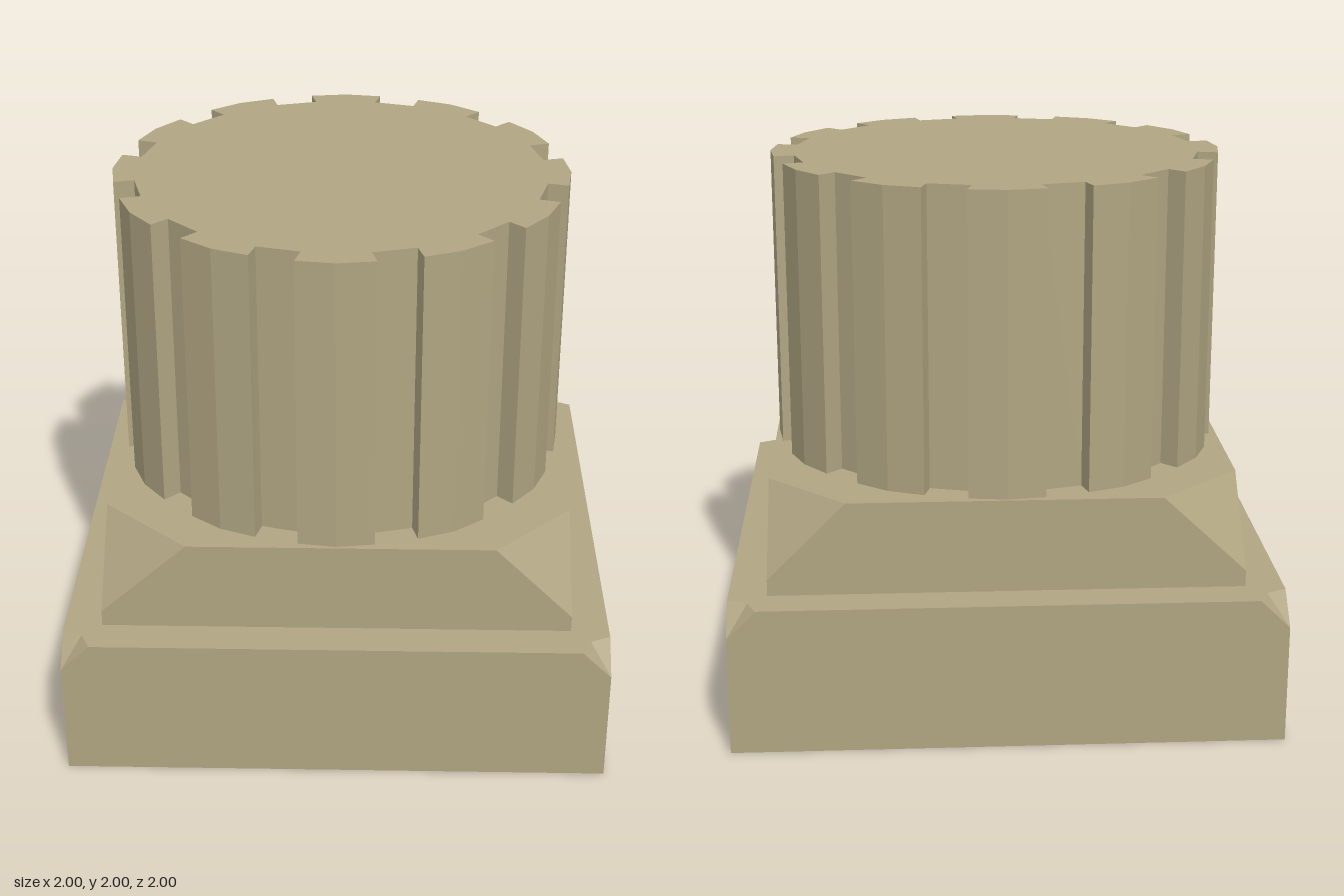
import * as THREE from 'three';

const stone = new THREE.MeshStandardMaterial({ color: 0xb0a582, flatShading: true });

// Square block with its four top corners cut away.
// w: half width, y0/yCut/y1: bottom, lowest point of the cuts, top
// cuts: [along x, along z] per corner; inset: how far the cut's top edge is dented inwards
function cutBlock(w, y0, yCut, y1, cuts, inset) {
  const pos = [];
  const fan = (pts) => {
    for (let i = 1; i < pts.length - 1; i++) pos.push(...pts[0], ...pts[i], ...pts[i + 1]);
  };
  const signs = [[1, 1], [1, -1], [-1, -1], [-1, 1]];
  const corners = signs.map(([sx, sz], i) => {
    const [cx, cz] = cuts[i];
    const px = [sx * (w - cx), y1, sz * w];
    const pz = [sx * w, y1, sz * (w - cz)];
    return {
      base: [sx * w, y0, sz * w],
      low: [sx * w, yCut, sz * w],
      a: i % 2 ? pz : px,
      b: i % 2 ? px : pz,
      mid: [sx * (w - cx / 2 - inset), y1, sz * (w - cz / 2 - inset)],
    };
  });
  corners.forEach((c, i) => {
    const n = corners[(i + 1) % 4];
    fan([c.base, n.base, n.low, n.a, c.b, c.low]); // side
    fan([c.low, c.b, c.mid, c.a]); // corner cut
  });
  const rim = corners.flatMap((c) => [c.a, c.mid, c.b]);
  fan([[0, y1, 0], ...rim, rim[0]]); // top
  fan(corners.map((c) => c.base).reverse()); // underside
  const geo = new THREE.BufferGeometry();
  geo.setAttribute('position', new THREE.Float32BufferAttribute(pos, 3));
  geo.computeVertexNormals();
  return geo;
}

// Fluted shaft: twelve shallow ridges with square grooves between them
function shaft(y0, y1) {
  const pts = [];
  const ridge = [[0.765, -9.0], [0.842, -9.5], [0.85, 0], [0.842, 9.5], [0.765, 9.0]];
  for (let i = 0; i < 12; i++) {
    for (const [r, deg] of ridge) {
      const t = THREE.MathUtils.degToRad(i * 30 + deg);
      pts.push(new THREE.Vector2(r * Math.cos(t), r * Math.sin(t)));
    }
  }
  const geo = new THREE.ExtrudeGeometry(new THREE.Shape(pts), { depth: y1 - y0, bevelEnabled: false });
  return geo.rotateX(-Math.PI / 2).translate(0, y0, 0);
}

export function createModel() {
  const group = new THREE.Group();
  group.name = 'columnBase';
  const add = (name, geo) => {
    const mesh = new THREE.Mesh(geo, stone);
    mesh.name = name;
    group.add(mesh);
  };
  add('plinth', cutBlock(1, 0, 0.44, 0.545, Array(4).fill([0.107, 0.107]), 0.019));
  // the left-hand corners of the upper step are cut slightly wider
  const stepCuts = [[0.285, 0.285], [0.285, 0.285], [0.303, 0.285], [0.318, 0.288]];
  add('upperStep', cutBlock(0.86, 0.545, 0.605, 0.89, stepCuts, 0));
  add('flutedShaft', shaft(0.89, 2));
  return group;
}
